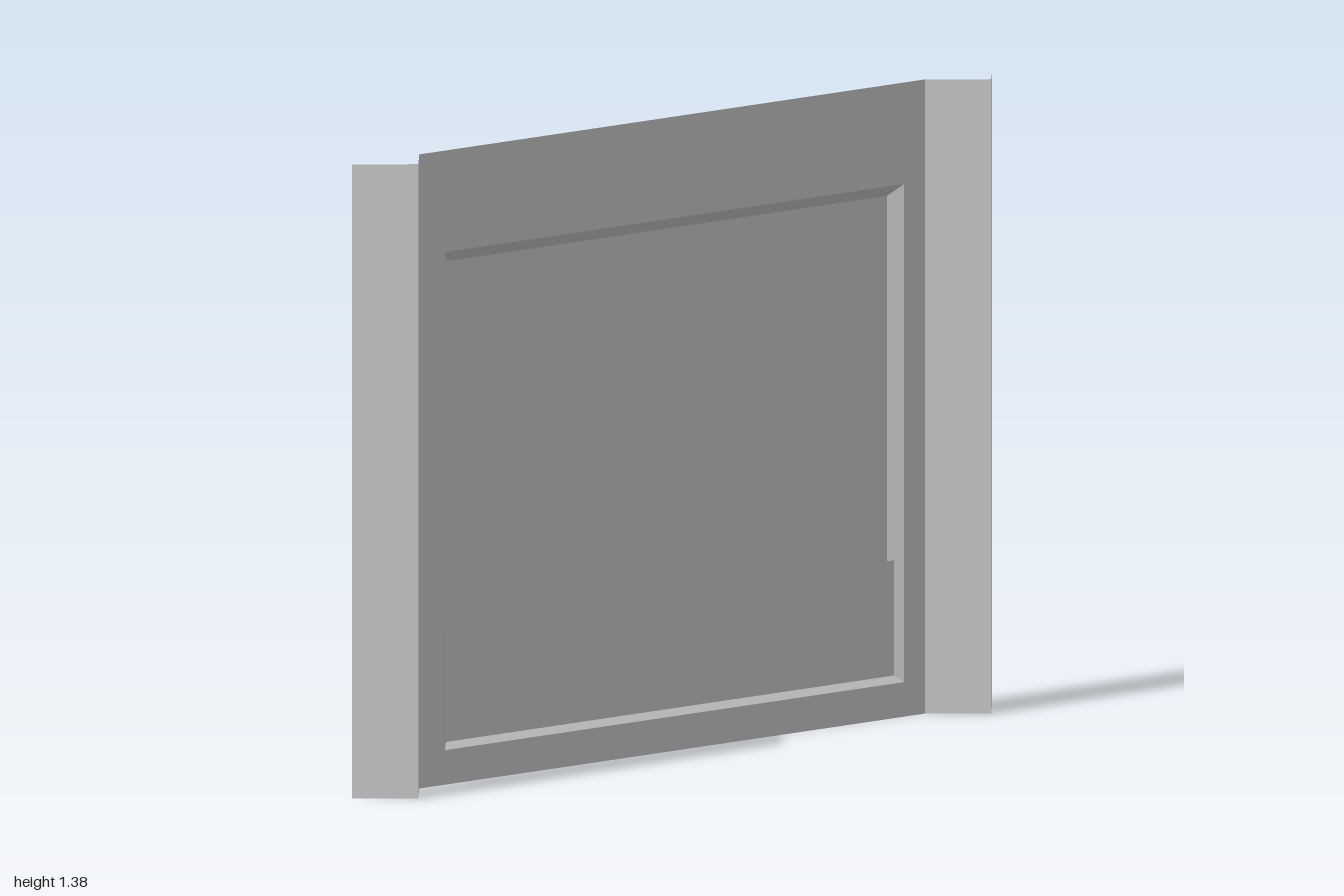
import * as THREE from 'three';

const material = new THREE.MeshStandardMaterial({ color: 0xcccccc, side: THREE.DoubleSide, flatShading: true });
const HEIGHT = 1.375;
const PANEL_Z = -0.04;

function addMesh(group, name, geometry) {
  const mesh = new THREE.Mesh(geometry, material);
  mesh.name = name;
  group.add(mesh);
  return mesh;
}

// Corners of an upright rectangle, counter-clockwise from the front
function corners([x0, x1, y0, y1], z) {
  return [[x0, y0, z], [x1, y0, z], [x1, y1, z], [x0, y1, z]];
}

// Flat quads, each given as four corners
function quads(list) {
  const positions = [];
  for (const [a, b, c, d] of list) positions.push(...a, ...b, ...c, ...a, ...c, ...d);
  const geometry = new THREE.BufferGeometry();
  geometry.setAttribute('position', new THREE.Float32BufferAttribute(positions, 3));
  geometry.computeVertexNormals();
  return geometry;
}

// Four walls joining two rectangles
function band(outer, inner) {
  return outer.map((p, i) => {
    const j = (i + 1) % 4;
    return [p, outer[j], inner[j], inner[i]];
  });
}

// Sheet folded along an [x, z] profile
function foldedSheet(profile) {
  return quads(profile.slice(1).map(([x1, z1], i) => {
    const [x0, z0] = profile[i];
    return [[x0, 0, z0], [x1, 0, z1], [x1, HEIGHT, z1], [x0, HEIGHT, z0]];
  }));
}

export function createModel() {
  const group = new THREE.Group();
  group.name = 'foldedPanel';

  // Flat frame around the recess
  const edge = corners([-0.79, 0.79, 0, HEIGHT], PANEL_Z);
  const opening = corners([-0.71, 0.725, 0.075, 1.155], PANEL_Z);
  addMesh(group, 'panelFrame', quads(band(edge, opening)));

  // Shallow tray with sloped walls, pressed out to the back
  const floor = corners([-0.68, 0.695, 0.1, 1.13], -0.062);
  addMesh(group, 'recessTray', quads([...band(opening, floor), floor]));

  // Low cover across the bottom of the recess
  addMesh(group, 'lowerCover', quads([corners([-0.693, 0.707, 0.09, 0.34], -0.052)]));

  // V-folded flanges at both sides
  addMesh(group, 'rightFlange', foldedSheet([[-1, PANEL_Z], [-0.9, 0.062], [-0.79, PANEL_Z]]));
  addMesh(group, 'leftFlange', foldedSheet([[0.79, PANEL_Z], [0.89, 0.062], [1, PANEL_Z]]));

  return group;
}
